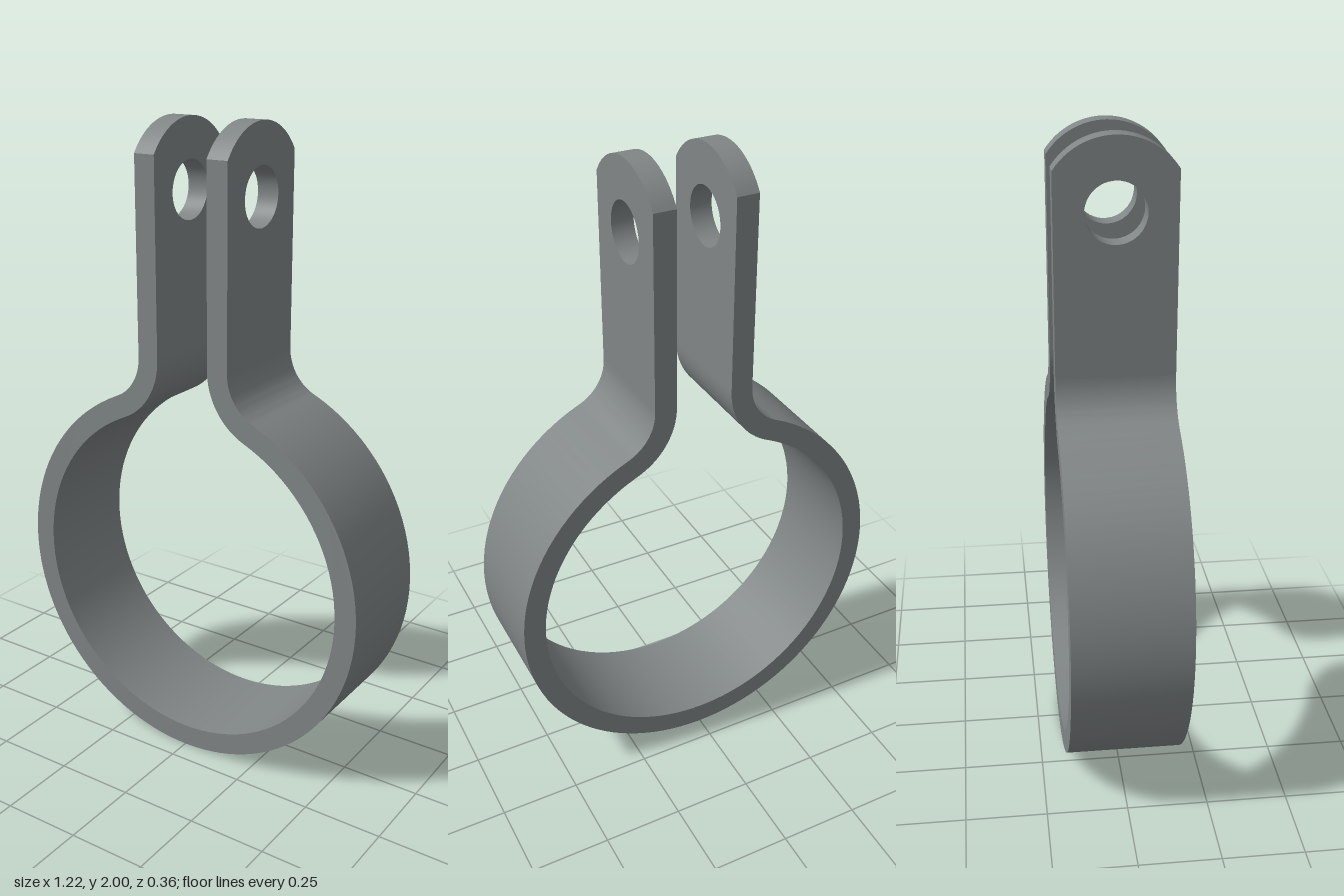
import * as THREE from 'three';
import { toCreasedNormals } from 'three/addons/utils/BufferGeometryUtils.js';

const R = 0.608, T = 0.07;            // ring outer radius, strap thickness
const TAB = 0.16, BEND_Y = 1.3;       // tab outer face, height where the bend starts
const HALF_W = 0.178;                 // half strap width
const HOLE_Y = 1.786, TIP_R = 0.214, HOLE_R = 0.09;

// Points along an arc, end point included
function arc(cx, cy, r, from, to, n) {
  return Array.from({ length: n + 1 }, (_, i) => {
    const a = from + (to - from) * i / n;
    return new THREE.Vector2(cx + r * Math.cos(a), cy + r * Math.sin(a));
  });
}

// Round band whose ends flare out through concave bends into the tabs
function bandGeometry() {
  const h = BEND_Y - R;
  const r = (TAB * TAB + h * h - R * R) / (2 * (R - TAB)); // bend tangent to ring and tab
  const cx = TAB + r, a = Math.atan2(h, cx), PI = Math.PI;
  const points = [
    ...arc(cx, BEND_Y, r, PI, PI + a, 16).slice(0, -1),
    ...arc(0, R, R, a, -PI - a, 96).slice(0, -1),
    ...arc(-cx, BEND_Y, r, -a, 0, 16),
    ...arc(-cx, BEND_Y, r + T, 0, -a, 16).slice(0, -1),
    ...arc(0, R, R - T, -PI - a, a, 96).slice(0, -1),
    ...arc(cx, BEND_Y, r + T, PI + a, PI, 16),
  ];
  const geo = new THREE.ExtrudeGeometry(new THREE.Shape(points), { depth: 2 * HALF_W, bevelEnabled: false });
  geo.translate(0, 0, -HALF_W);
  return toCreasedNormals(geo, 0.5);
}

// Upright ear with an arched tip and a bolt hole
function tabGeometry() {
  const a = Math.acos(HALF_W / TIP_R);
  const shape = new THREE.Shape([
    new THREE.Vector2(-HALF_W, BEND_Y),
    new THREE.Vector2(HALF_W, BEND_Y),
    ...arc(0, HOLE_Y, TIP_R, a, Math.PI - a, 24),
  ]);
  shape.holes.push(new THREE.Path(arc(0, HOLE_Y, HOLE_R, 0, -2 * Math.PI, 48).slice(0, -1)));
  const geo = new THREE.ExtrudeGeometry(shape, { depth: T, bevelEnabled: false });
  geo.rotateY(Math.PI / 2);
  return toCreasedNormals(geo, 0.5);
}

export function createModel() {
  const model = new THREE.Group();
  model.name = 'pipeClamp';
  const steel = new THREE.MeshStandardMaterial({ color: 0x808585 });
  steel.name = 'steel grey';

  const band = new THREE.Mesh(bandGeometry(), steel);
  band.name = 'clampBand';
  model.add(band);

  const tabGeo = tabGeometry();
  for (const [name, x] of [['leftTab', TAB - T], ['rightTab', -TAB]]) {
    const tab = new THREE.Mesh(tabGeo, steel);
    tab.name = name;
    tab.position.x = x;
    model.add(tab);
  }
  return model;
}
